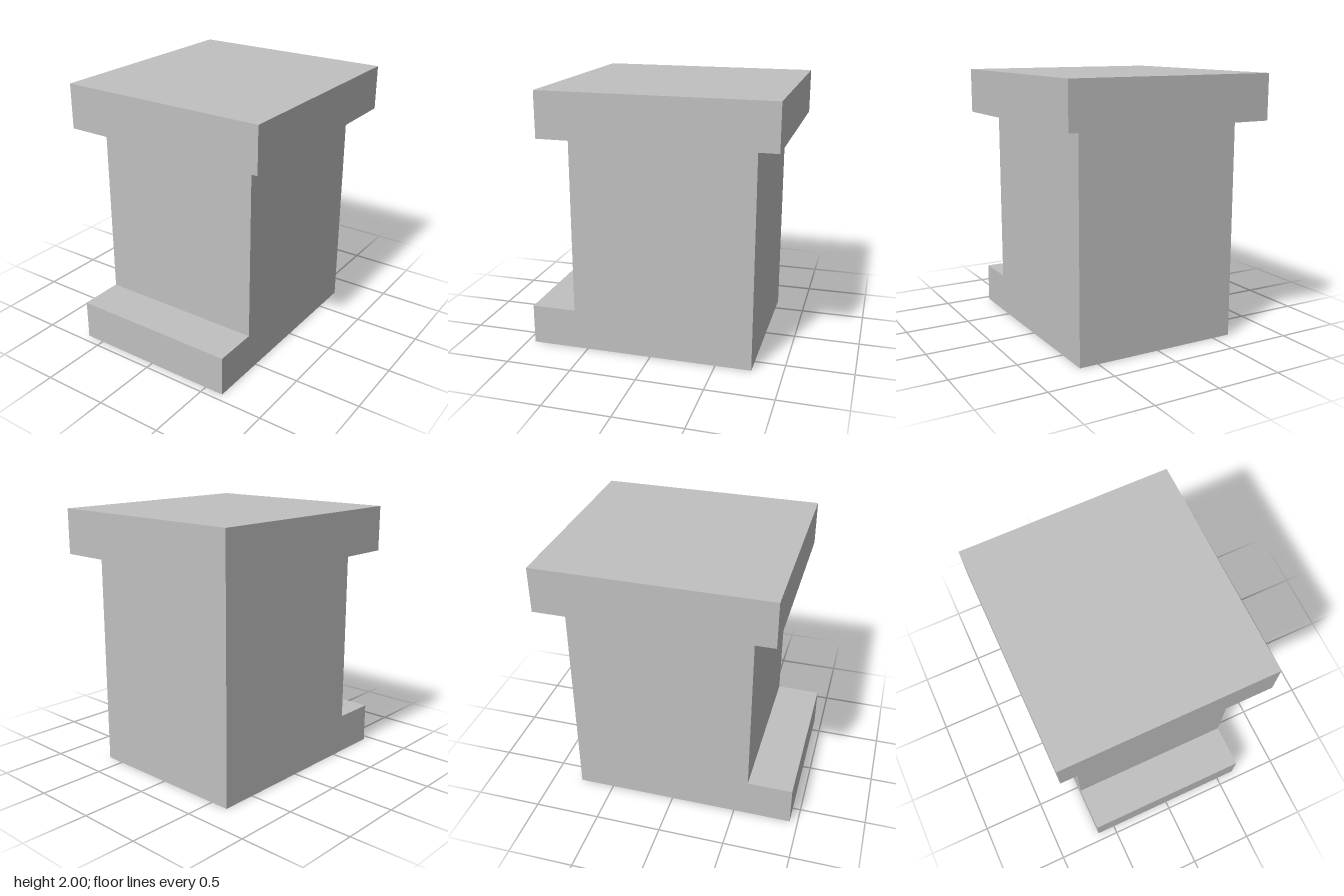
import * as THREE from 'three';

export function createModel() {
  const model = new THREE.Group();
  const grey = new THREE.MeshStandardMaterial({ color: 0xc0c0c0 });
  grey.name = 'light grey';

  // Body and front step share one side profile, drawn as (-z, y)
  const width = 1.29;
  const profile = new THREE.Shape([
    [-0.94, 0], [0.77, 0], [0.77, 1.66], [-0.6, 1.66], [-0.6, 0.305], [-0.94, 0.305],
  ].map(([x, y]) => new THREE.Vector2(x, y)));
  const bodyGeometry = new THREE.ExtrudeGeometry(profile, { depth: width, bevelEnabled: false });
  bodyGeometry.translate(0, 0, -width / 2).rotateY(Math.PI / 2);
  const body = new THREE.Mesh(bodyGeometry, grey);
  body.name = 'bodyWithStep';
  model.add(body);

  // Overhanging top slab
  const slab = new THREE.Mesh(new THREE.BoxGeometry(1.606, 0.34, 1.715), grey);
  slab.name = 'topSlab';
  slab.position.set(0, 1.83, -0.0825);
  model.add(slab);

  return model;
}
